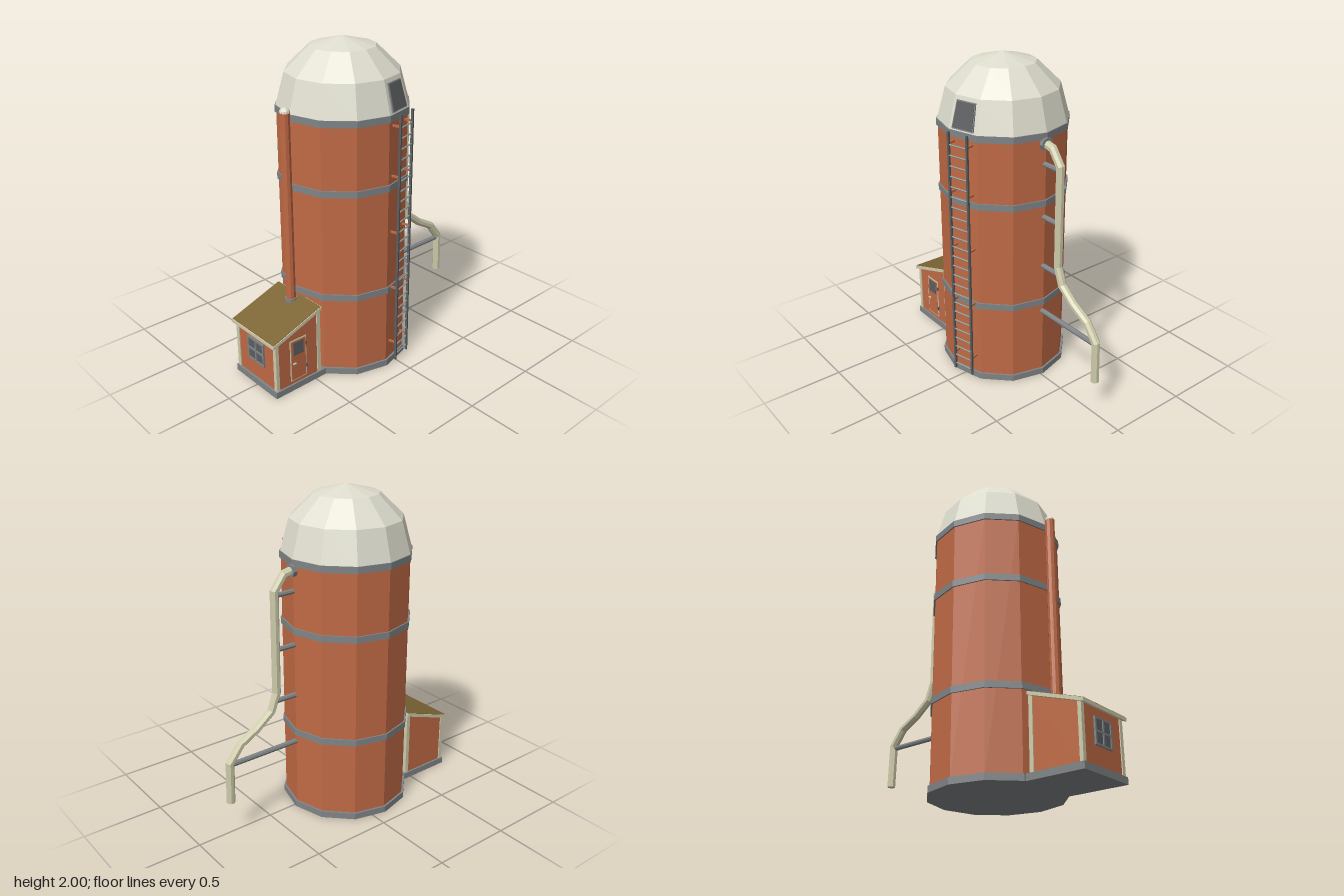
import * as THREE from 'three';

const mat = (color) => new THREE.MeshStandardMaterial({ color, flatShading: true, side: THREE.DoubleSide });
const brick = mat(0xc06a45), metal = mat(0x808486), dark = mat(0x5c5e60), cream = mat(0xcfccab);
const domeMat = mat(0xdddccd), olive = mat(0x7d6535), rungMat = mat(0x8c9a98);

const CX = -0.085, CZ = -0.017; // silo axis

export function createModel() {
  const model = new THREE.Group();
  const silo = new THREE.Group();
  silo.name = 'silo';
  silo.position.set(CX, 0, CZ);
  const shed = new THREE.Group();
  shed.name = 'shed';
  const chute = new THREE.Group();
  chute.name = 'dischargeChute';
  chute.position.z = -0.012;
  model.add(silo, shed, chute);

  const add = (parent, name, geo, material, x = 0, y = 0, z = 0) => {
    const m = new THREE.Mesh(geo, material);
    m.name = name;
    m.position.set(x, y, z);
    parent.add(m);
    return m;
  };
  const box = (parent, name, material, x0, x1, y0, y1, z0, z1) =>
    add(parent, name, new THREE.BoxGeometry(x1 - x0, y1 - y0, z1 - z0), material,
      (x0 + x1) / 2, (y0 + y1) / 2, (z0 + z1) / 2);
  const cyl = (parent, name, material, r, y0, y1, sides = 12, x = 0, z = 0) =>
    add(parent, name, new THREE.CylinderGeometry(r, r, y1 - y0, sides), material, x, (y0 + y1) / 2, z);
  const rodX = (parent, name, material, r, x0, x1, y, sides = 8) => {
    const m = add(parent, name, new THREE.CylinderGeometry(r, r, x1 - x0, sides), material, (x0 + x1) / 2, y, 0);
    m.rotation.z = Math.PI / 2;
    return m;
  };
  // outline in x and y, extruded from z0 to z1
  const prism = (parent, name, material, pts, z0, z1) => {
    const shape = new THREE.Shape(pts.map((p) => new THREE.Vector2(...p)));
    return add(parent, name, new THREE.ExtrudeGeometry(shape, { depth: z1 - z0, bevelEnabled: false }), material, 0, 0, z0);
  };

  // Tank, hoops and faceted dome
  cyl(silo, 'tank', brick, 0.387, 0.02, 1.61);
  cyl(silo, 'foundation', metal, 0.4, 0, 0.04);
  for (const y of [0.51, 1.17, 1.58]) cyl(silo, 'hoop', metal, 0.396, y, y + 0.04);
  const domePts = [0, 1, 2, 3].map((i) => {
    const a = (i * Math.PI) / 6;
    return new THREE.Vector2(0.39 * Math.cos(a), 1.62 + 0.38 * Math.sin(a));
  });
  domePts[3].x = 0;
  add(silo, 'dome', new THREE.LatheGeometry(domePts, 12), domeMat);

  // Ladder and hatch sit on the facet turned 15 degrees to the left
  const facet = new THREE.Group();
  facet.name = 'ladderSide';
  facet.rotation.y = Math.PI / 12;
  silo.add(facet);
  const LZ = 0.423, LW = 0.066;
  for (const s of [-1, 1]) {
    box(facet, 'ladderRail', dark, s * LW - 0.006, s * LW + 0.006, 0.04, 1.625, LZ - 0.007, LZ + 0.007);
    for (const y of [0.16, 0.54, 0.905, 1.255, 1.555])
      box(facet, 'ladderBracket', brick, s * LW - 0.005, s * LW + 0.005, y - 0.006, y + 0.006, 0.36, LZ);
  }
  for (let i = 0; i < 24; i++) {
    const rung = rodX(facet, 'ladderRung', rungMat, 0.005, -LW, LW, 0.075 + i * 0.064, 6);
    rung.position.z = LZ;
  }
  const hatch = new THREE.Group();
  hatch.name = 'hatch';
  hatch.position.set(0, 1.62, 0.39 * Math.cos(Math.PI / 12));
  hatch.rotation.x = -Math.atan2(0.39 * 0.134 * 0.966, 0.19);
  facet.add(hatch);
  prism(hatch, 'hatchFrame', metal, [[-0.077, 0.008], [0.077, 0.008], [0.066, 0.172], [-0.066, 0.172]], -0.01, 0.008);
  prism(hatch, 'hatchPanel', dark, [[-0.07, 0.015], [0.07, 0.015], [0.06, 0.166], [-0.06, 0.166]], 0, 0.011);

  // Discharge chute: mitred octagonal sweep along a bent path
  const path = [[0.3, 1.555], [0.365, 1.542], [0.43, 1.455], [0.434, 0.83], [0.475, 0.72],
    [0.58, 0.638], [0.695, 0.575], [0.773, 0.475], [0.78, 0.215]].map((p) => new THREE.Vector2(...p));
  const pos = [], idx = [], N = 8, R = 0.026;
  path.forEach((p, i) => {
    const a = p.clone().sub(path[Math.max(i - 1, 0)]).normalize();
    const b = path[Math.min(i + 1, path.length - 1)].clone().sub(p).normalize();
    const t = a.clone().add(b).normalize();
    const miter = 1 / Math.max(t.dot(i ? a : b), 0.5);
    for (let k = 0; k < N; k++) {
      const ang = ((k + 0.5) / N) * Math.PI * 2, u = R * miter * Math.cos(ang);
      pos.push(p.x - t.y * u, p.y + t.x * u, R * Math.sin(ang));
      const c = i * N + k, d = i * N + ((k + 1) % N);
      if (i < path.length - 1) idx.push(c, d, c + N, d, d + N, c + N);
    }
  });
  const last = (path.length - 1) * N;
  for (let k = 1; k < N - 1; k++) idx.push(last, last + k, last + k + 1);
  const sweep = new THREE.BufferGeometry();
  sweep.setAttribute('position', new THREE.Float32BufferAttribute(pos, 3));
  sweep.setIndex(idx);
  sweep.computeVertexNormals();
  add(chute, 'chutePipe', sweep, cream);
  rodX(chute, 'chuteFlange', metal, 0.041, 0.295, 0.32, 1.555);
  for (const [y, x] of [[1.43, 0.42], [1.1, 0.42], [0.777, 0.445], [0.463, 0.765]])
    rodX(chute, 'chuteStrut', metal, 0.016, 0.28, x, y);

  // Vent pipe rising from the shed roof
  cyl(model, 'ventPipe', brick, 0.03, 0.44, 1.64, 10, -0.508, CZ);
  cyl(model, 'ventCollar', metal, 0.038, 0.44, 0.485, 10, -0.508, CZ);
  add(model, 'ventCap', new THREE.SphereGeometry(0.031, 10, 4, 0, Math.PI * 2, 0, Math.PI / 2), domeMat, -0.508, 1.637, CZ);

  // Shed walls, slab and lean-to roof
  const ZB = -0.195, ZF = 0.182;
  const roofY = (x) => 0.348 + (x + 0.81) * 0.345; // underside of the roof
  const slope = (x0, x1, y0, up = 0) => [[x0, y0], [x1, y0], [x1, roofY(x1) + up], [x0, roofY(x0) + up]];
  box(shed, 'shedSlab', metal, -0.797, -0.41, 0, 0.04, ZB - 0.012, ZF + 0.012);
  prism(shed, 'shedWalls', brick, slope(-0.782, -0.46, 0.03), ZB, ZF);
  const slab = (x0, x1, lo, hi) => [[x0, roofY(x0) + lo], [x1, roofY(x1) + lo], [x1, roofY(x1) + hi], [x0, roofY(x0) + hi]];
  prism(shed, 'roofEdge', cream, slab(-0.81, -0.453, -0.003, 0.018), -0.213, 0.2);
  prism(shed, 'roofCovering', olive, slab(-0.806, -0.457, 0.01, 0.021), -0.208, 0.195);
  for (const [z0, z1] of [[ZB - 0.006, ZB + 0.02], [ZF - 0.02, ZF + 0.006]]) {
    prism(shed, 'cornerTrim', cream, slope(-0.788, -0.766, 0.04), z0, z1);
    prism(shed, 'cornerTrim', cream, slope(-0.48, -0.455, 0.04), z0, z1);
  }

  // Door with pane, handle and hinges
  box(shed, 'doorFrame', cream, -0.682, -0.563, 0.062, 0.337, ZF - 0.01, ZF + 0.004);
  box(shed, 'door', brick, -0.675, -0.57, 0.069, 0.33, ZF - 0.01, ZF + 0.006);
  box(shed, 'doorPane', dark, -0.66, -0.586, 0.235, 0.322, ZF, ZF + 0.009);
  box(shed, 'doorHandle', cream, -0.668, -0.645, 0.176, 0.184, ZF, ZF + 0.014);
  for (const y of [0.13, 0.285]) box(shed, 'doorHinge', dark, -0.568, -0.56, y - 0.012, y + 0.012, ZF, ZF + 0.01);

  // Side window with crossed bars
  const wz = (ZB + ZF) / 2;
  box(shed, 'windowPane', dark, -0.787, -0.77, 0.16, 0.3, wz - 0.07, wz + 0.07);
  for (const s of [-1, 0, 1]) {
    box(shed, 'windowBar', metal, -0.793, -0.78, 0.153, 0.307, wz + s * 0.072 - 0.006, wz + s * 0.072 + 0.006);
    box(shed, 'windowBar', metal, -0.793, -0.78, 0.224 + s * 0.071, 0.236 + s * 0.071, wz - 0.078, wz + 0.078);
  }
  return model;
}
